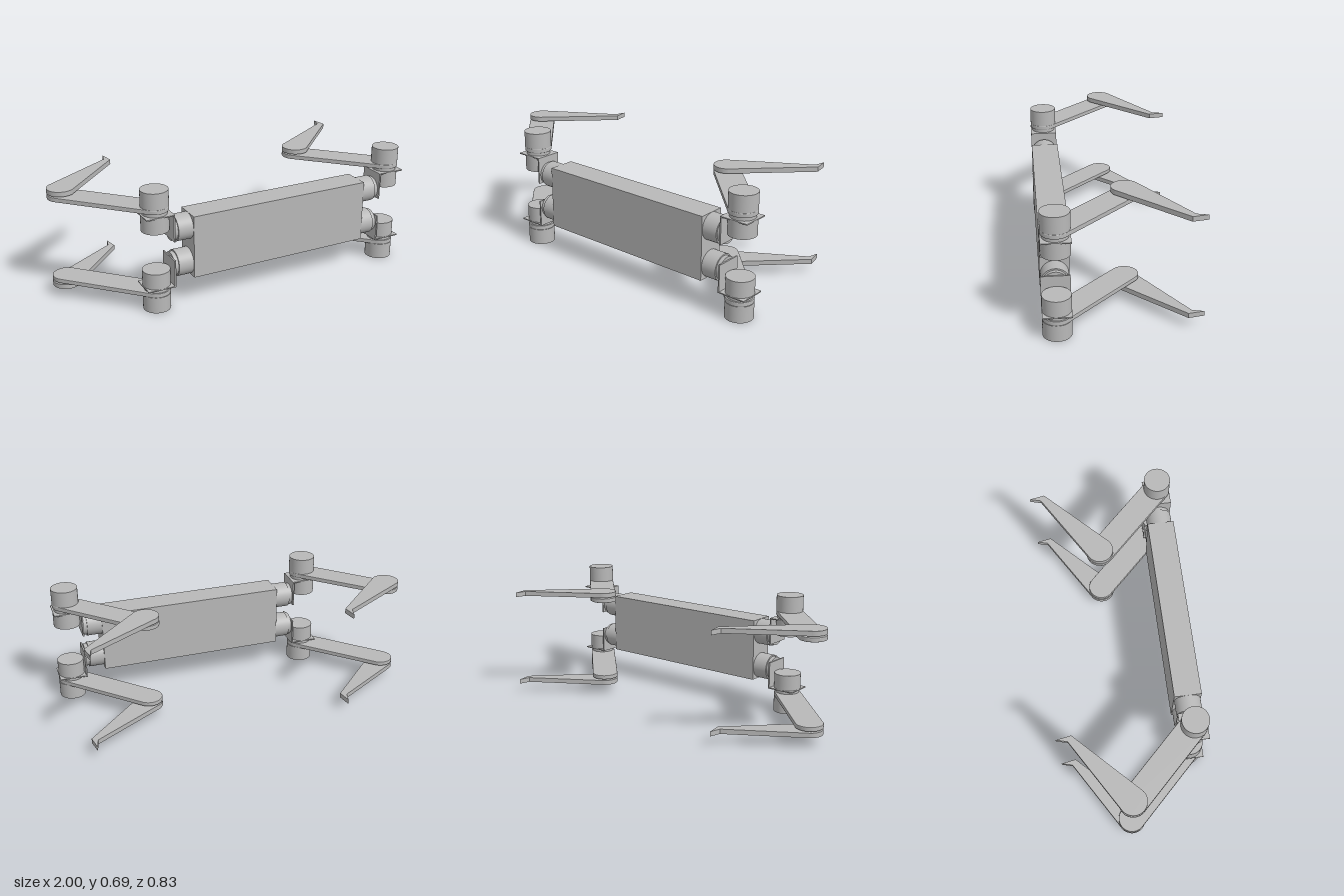
import * as THREE from 'three';

export function createModel() {
  const root = new THREE.Group();
  root.name = 'quadrupedFrame';
  const grey = new THREE.MeshStandardMaterial({ color: 0xb8b8b8 });
  grey.name = 'plainGrey';

  const MID = 0.345;   // height of the mirror plane
  const HZ = 0.335;    // depth of the body and motors
  const R = 0.076;     // motor radius

  function add(parent, name, geo, x, y, z) {
    const m = new THREE.Mesh(geo, grey);
    m.name = name;
    m.position.set(x, y, z);
    parent.add(m);
    return m;
  }
  const box = (p, n, w, h, d, x, y, z) => add(p, n, new THREE.BoxGeometry(w, h, d), x, y, z);
  const upright = (p, n, r, h, x, y, z) => add(p, n, new THREE.CylinderGeometry(r, r, h, 48), x, y, z);
  function sideways(p, n, r, x0, x1, y) {
    const g = new THREE.CylinderGeometry(r, r, Math.abs(x1 - x0), 48).rotateZ(Math.PI / 2);
    return add(p, n, g, (x0 + x1) / 2, y, HZ);
  }
  // horizontal plate centred in its thickness, outline given as (x, -z)
  function plate(shape, thickness, bevel) {
    const g = new THREE.ExtrudeGeometry(shape, {
      depth: thickness - 2 * bevel, curveSegments: 24, bevelEnabled: bevel > 0,
      bevelSize: bevel, bevelOffset: -bevel, bevelThickness: bevel, bevelSegments: 2,
    });
    g.translate(0, 0, -(thickness - 2 * bevel) / 2);
    return g.rotateX(-Math.PI / 2);
  }

  // knee relative to the motor axis, as (x, -z)
  const knee = new THREE.Vector2(-0.378, 0.384);
  const a = Math.atan2(knee.y, knee.x);

  // thigh: a straight link with round ends
  const thigh = new THREE.Shape();
  thigh.absarc(0, 0, R, a + Math.PI / 2, a + Math.PI * 1.5, false);
  thigh.absarc(knee.x, knee.y, R, a - Math.PI / 2, a + Math.PI / 2, false);
  const thighGeo = plate(thigh, 0.025, 0.004);

  // shin: round at the knee, tapering to a bent pointed foot
  const shin = new THREE.Shape();
  shin.absarc(0, 0, R, 2.02, 5.38, false);
  shin.lineTo(0.392, 0.283);
  shin.lineTo(0.377, 0.368);
  shin.lineTo(0.360, 0.305);
  shin.closePath();
  const shinGeo = plate(shin, 0.027, 0);

  box(root, 'body', 1.085, 0.356, 0.155, 0.1875, MID, HZ);

  // end: motor axis x, body end x, side (+1 towards +x)
  for (const [cx, bodyX, side] of [[-0.545, -0.355, -1], [0.921, 0.73, 1]]) {
    for (const s of [1, -1]) {
      const leg = new THREE.Group();
      leg.name = (s > 0 ? 'upper' : 'lower') + (side > 0 ? 'Left' : 'Right') + 'Leg';
      root.add(leg);
      const y = (h) => MID + s * h;

      // hip motor on the end of the body
      sideways(leg, 'hipMotor', 0.074, bodyX - side * 0.01, bodyX + side * 0.086, y(0.103));
      sideways(leg, 'hipShaft', 0.066, bodyX + side * 0.086, bodyX + side * 0.108, y(0.103));

      // angled bracket that carries the leg motor
      box(leg, 'bracketSide', 0.008, 0.155, 0.153, cx - side * 0.079, y(0.1325), HZ);
      box(leg, 'bracketTop', 0.155, 0.006, 0.153, cx, y(0.207), HZ);

      // stacked motors around the thigh
      upright(leg, 'legMotor', R, 0.09, cx, y(0.16), HZ);
      upright(leg, 'legShaft', 0.068, 0.02, cx, y(0.219), HZ);
      add(leg, 'thigh', thighGeo, cx, y(0.2405), HZ);
      upright(leg, 'kneeMotor', R, 0.092, cx, y(0.299), HZ);

      // knee joint and shin
      const kx = cx + knee.x, kz = HZ - knee.y;
      upright(leg, 'kneeSpacer', 0.045, 0.012, kx, y(0.2565), kz);
      add(leg, 'shin', shinGeo, kx, y(0.2735), kz);
    }
  }
  return root;
}
